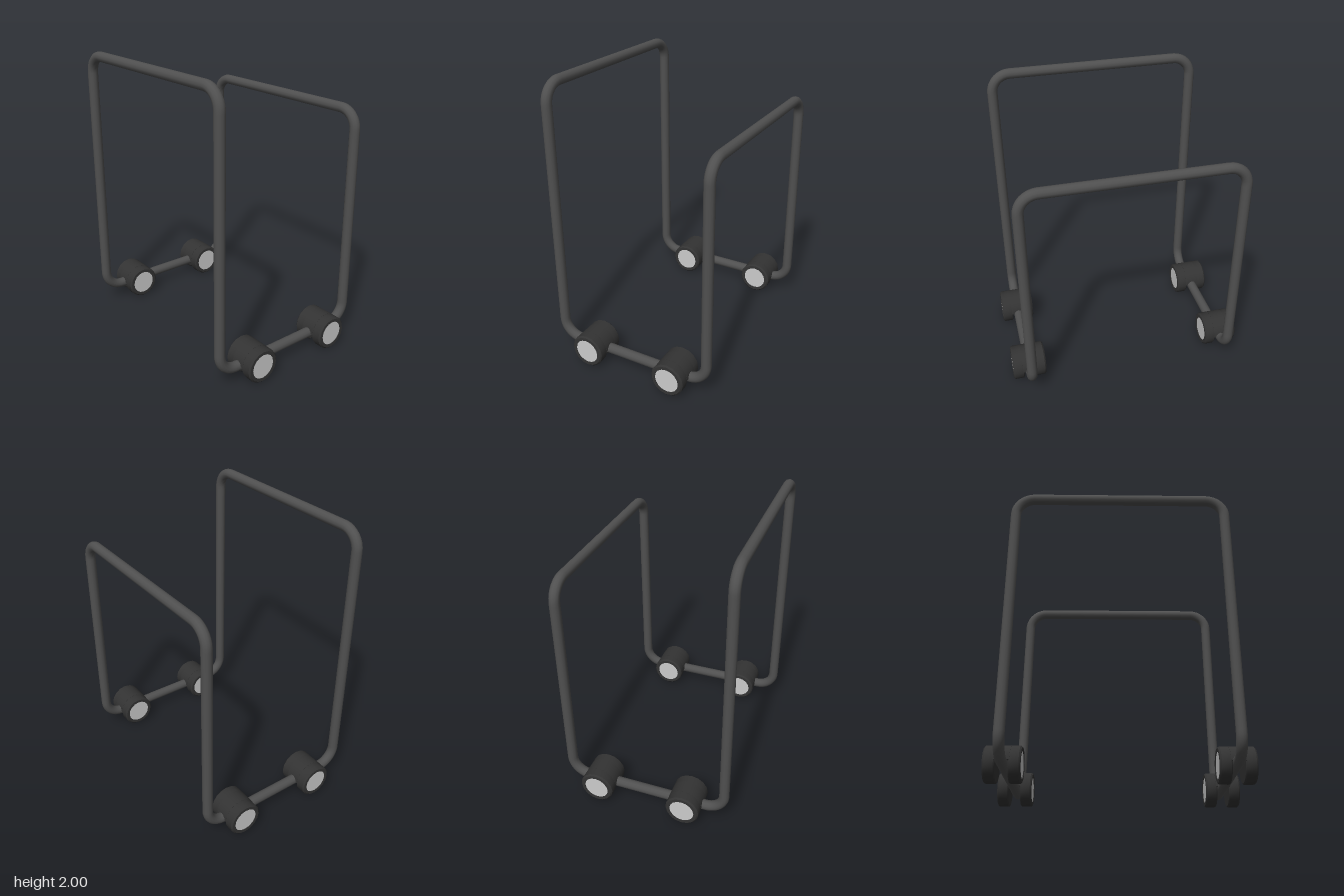
import * as THREE from 'three';
import { toCreasedNormals } from 'three/addons/utils/BufferGeometryUtils.js';

const mat = (color) => new THREE.MeshStandardMaterial({ color });
const V = (x, y, z) => new THREE.Vector3(x, y, z);

function mesh(name, geometry, material) {
  const m = new THREE.Mesh(geometry, material);
  m.name = name;
  return m;
}

// Closed path through the corners, each rounded with a quarter arc
function roundedLoop(corners, radius) {
  const path = new THREE.CurvePath();
  const n = corners.length;
  const toward = (a, b, d) => a.clone().add(b.clone().sub(a).setLength(d));
  const k = radius * (1 - 0.5523);
  let last = toward(corners[0], corners[n - 1], radius);
  const first = last;
  corners.forEach((c, i) => {
    const prev = corners[(i + n - 1) % n], next = corners[(i + 1) % n];
    const start = toward(c, prev, radius), end = toward(c, next, radius);
    if (i > 0) path.add(new THREE.LineCurve3(last, start));
    path.add(new THREE.CubicBezierCurve3(start, toward(c, prev, k), toward(c, next, k), end));
    last = end;
  });
  path.add(new THREE.LineCurve3(last, first));
  return path;
}

export function createModel() {
  const group = new THREE.Group();
  const steel = mat(0x505050), rubber = mat(0x333333), grey = mat(0xcccccc);
  const xHigh = -0.573, xLow = 0.568, zFront = 0.725, zBack = -0.73;
  const yBar = 0.115, yHigh = 1.964, yLow = 1.667;

  // One bent tube: tall hoop, low hoop and the two floor bars
  const path = roundedLoop([
    V(xHigh, yBar, zFront), V(xHigh, yHigh, zFront), V(xHigh, yHigh, zBack), V(xHigh, yBar, zBack),
    V(xLow, yBar, zBack), V(xLow, yLow, zBack), V(xLow, yLow, zFront), V(xLow, yBar, zFront),
  ], 0.13);
  path.arcLengthDivisions = 800;
  group.add(mesh('tubeFrame', new THREE.TubeGeometry(path, 480, 0.036, 12, true), steel));

  // Twin-wheel caster parts
  const R = 0.12, half = 0.118, gap = 0.04, hub = 0.088;
  const profile = [
    [0, gap], [R - 0.008, gap], [R, gap + 0.008], [R, half - 0.01],
    [R - 0.01, half], [hub, half], [hub, half - 0.005],
  ].map(([x, y]) => new THREE.Vector2(x, y));
  const wheelGeo = toCreasedNormals(new THREE.LatheGeometry(profile, 16).rotateX(Math.PI / 2), 0.6);
  const capGeo = new THREE.CircleGeometry(hub, 24).translate(0, 0, half - 0.004);

  // Half-round hood bridging the two wheels
  const hoodShape = new THREE.Shape();
  hoodShape.absarc(0, 0, R, 0, Math.PI, false);
  hoodShape.closePath();
  const hoodGeo = toCreasedNormals(new THREE.ExtrudeGeometry(hoodShape, {
    depth: 2 * gap + 0.02, bevelEnabled: false, curveSegments: 8,
  }).translate(0, 0, -gap - 0.01), 0.6);

  for (const z of [0.728, -0.73]) {
    for (const x of [-0.305, 0.335]) {
      const caster = new THREE.Group();
      caster.name = 'caster';
      caster.position.set(x, R, z);
      caster.add(mesh('casterHood', hoodGeo, rubber));
      for (const turn of [0, Math.PI]) {
        const wheel = new THREE.Group();
        wheel.name = 'casterWheel';
        wheel.rotation.y = turn;
        wheel.add(mesh('tyre', wheelGeo, rubber), mesh('hubCap', capGeo, grey));
        caster.add(wheel);
      }
      group.add(caster);
    }
  }
  return group;
}
